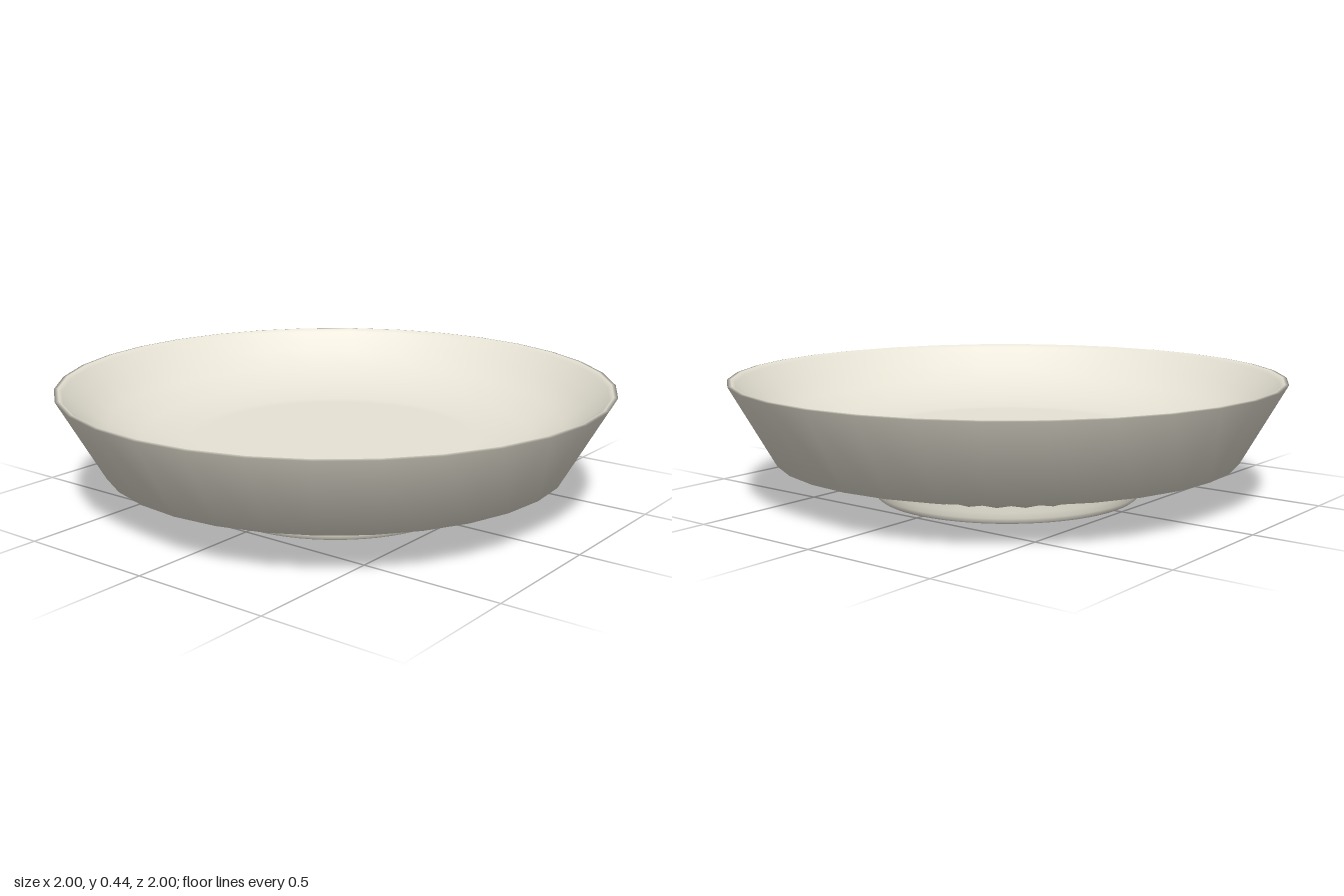
import * as THREE from 'three';

const lathe = (profile, segments) =>
  new THREE.LatheGeometry(profile.map(([r, y]) => new THREE.Vector2(r, y)), segments);

export function createModel() {
  const model = new THREE.Group();
  model.name = 'shallowBowl';

  const ceramic = new THREE.MeshStandardMaterial({ color: 0xe8e4d6 });
  ceramic.name = 'warm white ceramic';

  const add = (name, geometry) => {
    const mesh = new THREE.Mesh(geometry, ceramic);
    mesh.name = name;
    model.add(mesh);
  };

  // Dish: tapered foot, flat underside, flared wall, rim and hollow
  add('dish', lathe([
    [0, 0.012], [0.471, 0.012], [0.52, 0.15],
    [0.84, 0.15], [1, 0.435],
    [0.985, 0.437], [0.972, 0.425],
    [0.9, 0.36], [0.82, 0.303], [0.7, 0.254], [0.55, 0.23], [0.5, 0.23], [0, 0.23],
  ], 32));

  // Flat disc closing the bottom of the foot
  add('footBase', lathe([[0, 0.006], [0.47, 0.006]], 64));

  // Rounded band around the bottom of the foot, with a narrow inner lip
  add('footRing', lathe([
    [0.465, 0.008], [0.468, 0.001], [0.474, 0], [0.482, 0.006],
    [0.486, 0.02], [0.487, 0.04], [0.487, 0.075],
  ], 64));

  return model;
}
